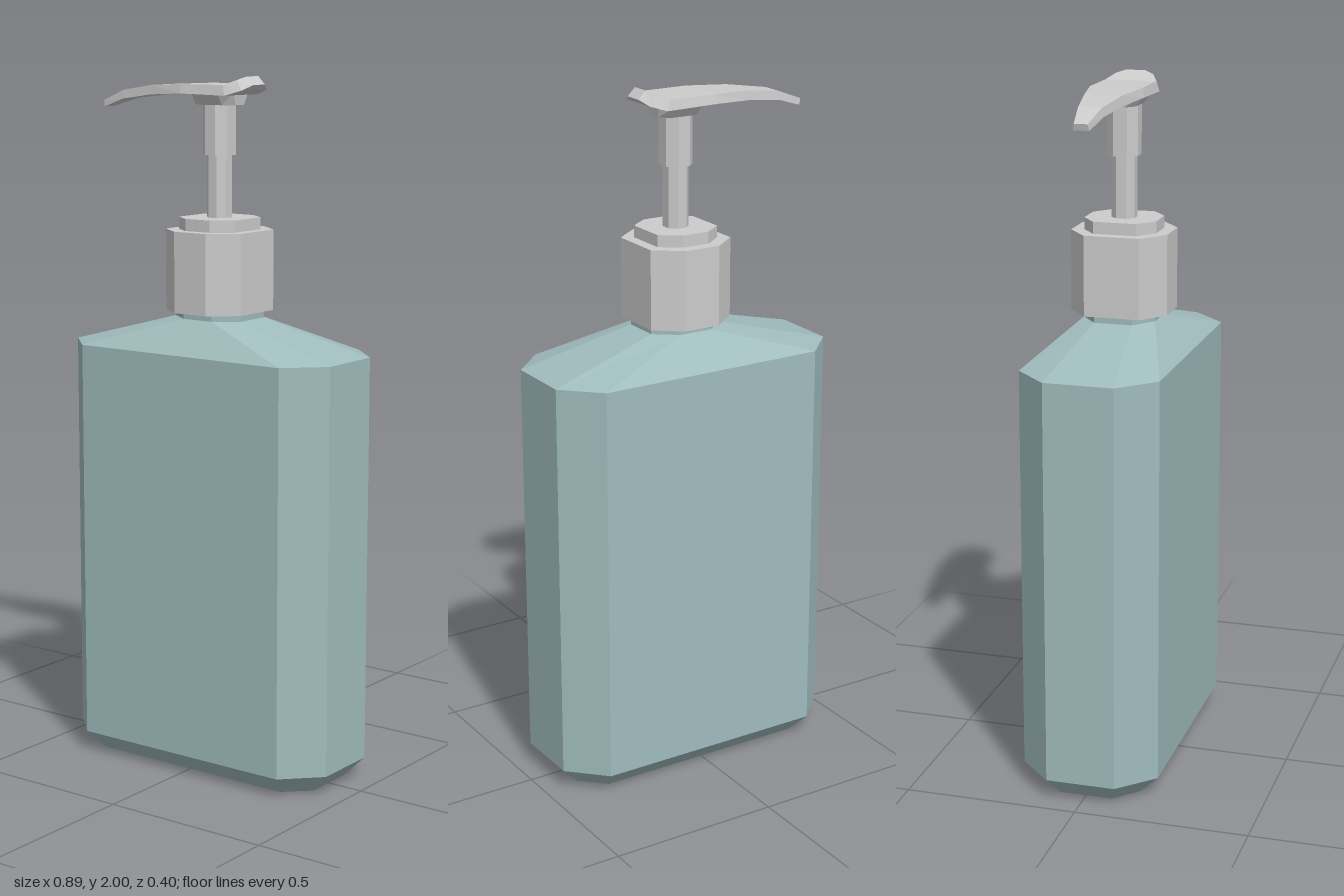
import * as THREE from 'three';

const plastic = new THREE.MeshStandardMaterial({ color: 0xcccccc, flatShading: true });
const tinted = new THREE.MeshStandardMaterial({ color: 0xa0bcbd, flatShading: true });

// Skin a list of equal-sized rings of [x, y, z] points and close both ends.
function loft(name, rings, material) {
  const pos = [];
  const tri = (a, b, c) => pos.push(...a, ...b, ...c);
  const n = rings[0].length;
  for (let i = 0; i < rings.length - 1; i++) {
    for (let j = 0; j < n; j++) {
      const k = (j + 1) % n;
      const [a, b, c, d] = [rings[i][j], rings[i][k], rings[i + 1][k], rings[i + 1][j]];
      tri(a, b, c);
      tri(a, c, d);
    }
  }
  const first = rings[0], last = rings[rings.length - 1];
  for (let j = 1; j < n - 1; j++) {
    tri(first[0], first[j + 1], first[j]);
    tri(last[0], last[j], last[j + 1]);
  }
  const geometry = new THREE.BufferGeometry();
  geometry.setAttribute('position', new THREE.Float32BufferAttribute(pos, 3));
  geometry.computeVertexNormals();
  const mesh = new THREE.Mesh(geometry, material);
  mesh.name = name;
  return mesh;
}

// Horizontal eight-sided ring: half sizes hx, hz; flats end at cx, cz.
function octagon(y, hx, hz, cx, cz) {
  return [
    [-cx, y, hz], [cx, y, hz], [hx, y, cz], [hx, y, -cz],
    [cx, y, -hz], [-cx, y, -hz], [-hx, y, -cz], [-hx, y, cz],
  ];
}

function prism(name, y0, y1, ...size) {
  return loft(name, [octagon(y0, ...size), octagon(y1, ...size)], plastic);
}

export function createModel() {
  const model = new THREE.Group();

  // Bottle: bevelled foot, straight walls, sloping shoulders, short neck
  model.add(loft('bottle', [
    octagon(0, 0.39, 0.143, 0.32, 0.076),
    octagon(0.06, 0.447, 0.2, 0.346, 0.1),
    octagon(1.23, 0.447, 0.2, 0.346, 0.1),
    octagon(1.32, 0.115, 0.105, 0.05, 0.055),
    octagon(1.345, 0.115, 0.105, 0.05, 0.055),
  ], tinted));

  // Screw cap, collar and pump shaft
  model.add(prism('cap', 1.34, 1.57, 0.131, 0.14, 0.055, 0.08));
  model.add(prism('collar', 1.57, 1.604, 0.098, 0.105, 0.042, 0.062));
  model.add(prism('stem', 1.604, 1.78, 0.033, 0.034, 0.014, 0.015));
  model.add(prism('sleeve', 1.78, 1.925, 0.043, 0.045, 0.018, 0.02));

  // Flared seat under the pump head
  model.add(loft('headSeat', [
    octagon(1.92, 0.07, 0.045, 0.04, 0.02),
    octagon(1.955, 0.074, 0.072, 0.045, 0.035),
  ], plastic));

  // Pump head: [top x, top y, top half width, bottom x, bottom y, bottom half width]
  const stations = [
    [-0.405, 1.923, 0.019, -0.4, 1.905, 0.022],
    [-0.32, 1.955, 0.033, -0.32, 1.93, 0.037],
    [-0.2, 1.972, 0.053, -0.2, 1.945, 0.057],
    [-0.08, 1.977, 0.074, -0.08, 1.951, 0.08],
    [0.065, 1.977, 0.074, 0.075, 1.948, 0.08],
    [0.1, 1.991, 0.055, 0.119, 1.962, 0.06],
    [0.113, 2.0, 0.028, 0.136, 1.977, 0.028],
  ];
  model.add(loft('pumpHead', stations.map(([tx, ty, tw, bx, by, bw]) => [
    [bx, by, bw], [bx, by, -bw], [tx, ty, -tw], [tx, ty, tw],
  ]), plastic));

  return model;
}
